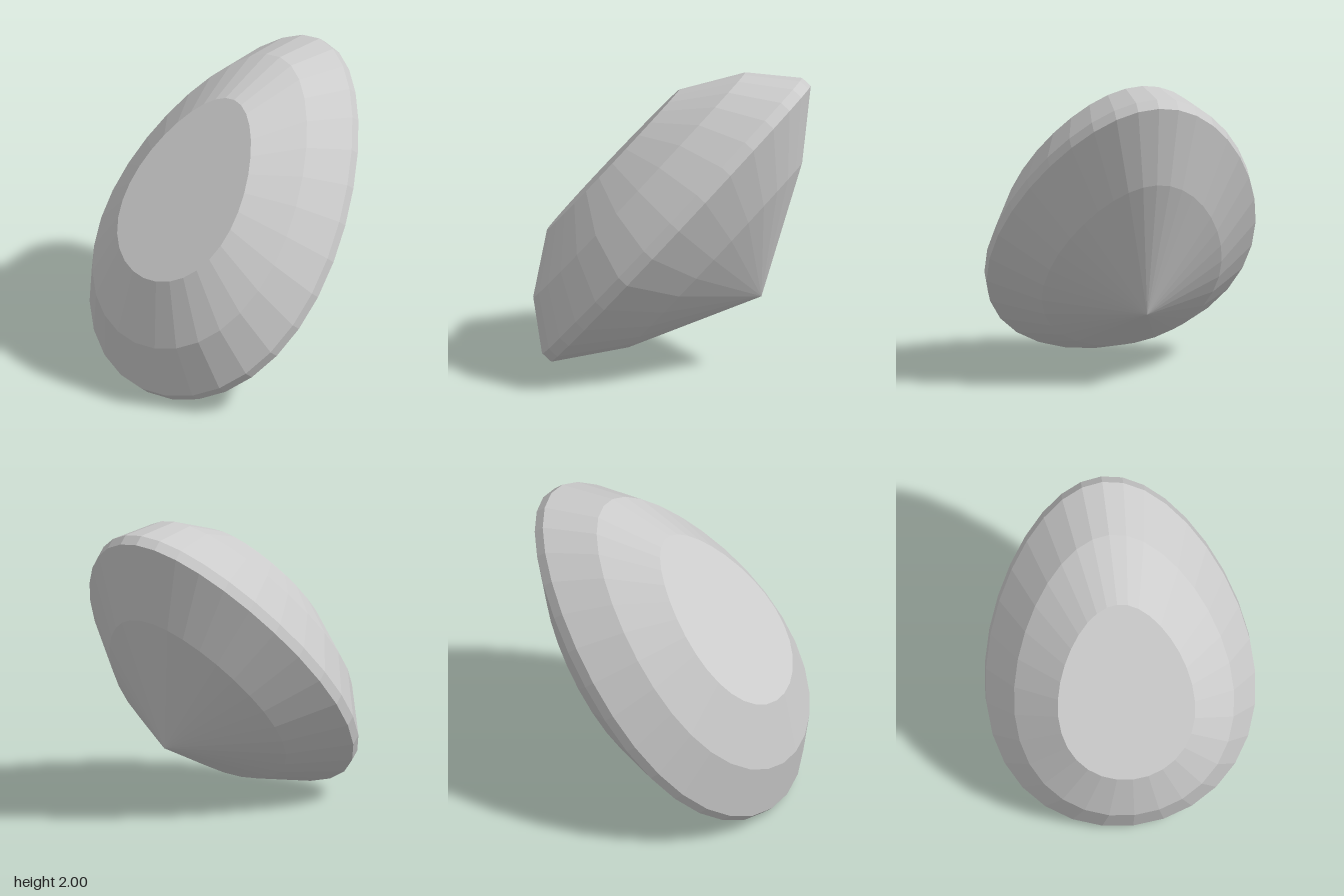
import * as THREE from 'three';

export function createModel() {
  const group = new THREE.Group();
  group.name = 'gem';

  // Profile along the gem's axis: [half length of the ring, height above the point]
  const profile = [
    [0, 0],          // point
    [0.861, 0.408],  // lower break
    [1.287, 0.713],  // girdle, lower edge
    [1.287, 0.79],   // girdle, upper edge
    [1.05, 1.085],   // crown break
    [0.655, 1.322],  // table edge
    [0, 1.322],      // table centre
  ].map(([r, h]) => new THREE.Vector2(r, h));

  const geometry = new THREE.LatheGeometry(profile, 32);

  // Squeeze every round ring into an egg outline, wider towards +z
  const pos = geometry.attributes.position;
  for (let i = 0; i < pos.count; i++) {
    const x = pos.getX(i), z = pos.getZ(i);
    const r = Math.hypot(x, z);
    if (r > 1e-6) pos.setX(i, x * (0.676 + 0.134 * z / r));
  }
  const faceted = geometry.toNonIndexed();
  faceted.computeVertexNormals();

  // Cut stone, tilted so the flat table faces forward and up
  const stone = new THREE.Mesh(
    faceted,
    new THREE.MeshStandardMaterial({ color: 0xcccccc, flatShading: true })
  );
  stone.name = 'cutStone';
  stone.rotation.x = 0.848;
  stone.position.set(0, 0.495, -0.6);
  group.add(stone);

  return group;
}
